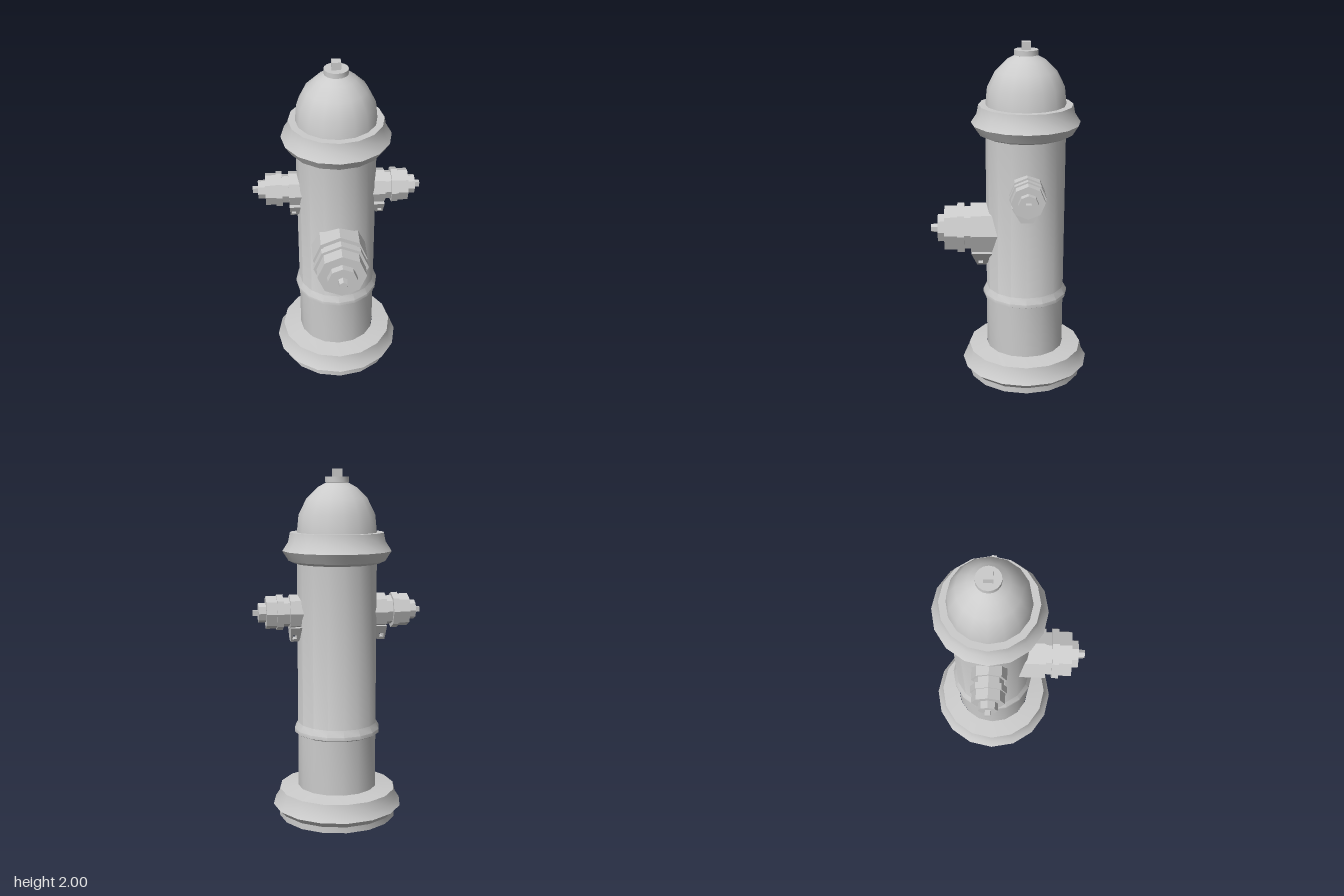
import * as THREE from 'three';
import { toCreasedNormals } from 'three/addons/utils/BufferGeometryUtils.js';

const smooth = new THREE.MeshStandardMaterial({ color: 0xcccccc });
const flat = new THREE.MeshStandardMaterial({ color: 0xcccccc, flatShading: true });

function add(parent, name, geometry, material = flat) {
  const mesh = new THREE.Mesh(geometry, material);
  mesh.name = name;
  parent.add(mesh);
  return mesh;
}

// Revolved [radius, height] profile
const lathe = (profile, sides) =>
  new THREE.LatheGeometry(profile.map(([r, y]) => new THREE.Vector2(r, y)), sides);

function turned(parent, name, profile) {
  return add(parent, name, toCreasedNormals(lathe(profile, 16), 0.6), smooth);
}

// Pierced chain lug below a nozzle; outline in (axial, height), wider towards the top
function lugGeometry({ outline, hole, holeSize, bottomHalf, topHalf }) {
  const shape = new THREE.Shape(outline.map(([a, y]) => new THREE.Vector2(a, y)));
  const [ha, hy] = hole;
  const h = holeSize / 2;
  shape.holes.push(new THREE.Path([
    new THREE.Vector2(ha - h, hy - h), new THREE.Vector2(ha - h, hy + h),
    new THREE.Vector2(ha + h, hy + h), new THREE.Vector2(ha + h, hy - h),
  ]));
  const geo = new THREE.ExtrudeGeometry(shape, { depth: 2, bevelEnabled: false });
  geo.translate(0, 0, -1);
  const ys = outline.map((p) => p[1]);
  const low = Math.min(...ys), high = Math.max(...ys);
  const pos = geo.attributes.position;
  for (let i = 0; i < pos.count; i++) {
    const t = (pos.getY(i) - low) / (high - low);
    pos.setZ(i, pos.getZ(i) * THREE.MathUtils.lerp(bottomHalf, topHalf, t));
  }
  geo.rotateY(-Math.PI / 2);
  geo.computeVertexNormals();
  return geo;
}

// Nozzle pointing along +z, measured from the hydrant's axis
function nozzle(name, { profile, nut, lug }) {
  const group = new THREE.Group();
  group.name = name;
  add(group, 'nozzleCap', lathe(profile, 8).rotateX(Math.PI / 2));
  const nutGeo = new THREE.CylinderGeometry(nut.tip, nut.base, nut.length, nut.sides);
  if (nut.sides === 4) nutGeo.rotateY(Math.PI / 4);
  nutGeo.rotateX(Math.PI / 2).translate(0, 0, nut.start + nut.length / 2);
  add(group, 'nozzleNut', nutGeo);
  add(group, 'chainLug', lugGeometry(lug));
  return group;
}

const sideNozzle = {
  profile: [[0.1, 0.17], [0.1, 0.275], [0.083, 0.275], [0.083, 0.312], [0.102, 0.312],
    [0.102, 0.348], [0.093, 0.348], [0.093, 0.408], [0.055, 0.408], [0.055, 0.45], [0, 0.45]],
  nut: { tip: 0.021, base: 0.021, length: 0.032, start: 0.449, sides: 4 },
  lug: {
    outline: [[0.228, -0.165], [0.27, -0.165], [0.274, -0.08], [0.2, -0.08], [0.2, -0.12]],
    hole: [0.249, -0.137], holeSize: 0.024, bottomHalf: 0.036, topHalf: 0.085,
  },
};

const frontNozzle = {
  profile: [[0.156, 0.12], [0.156, 0.318], [0.133, 0.318], [0.133, 0.355], [0.156, 0.355],
    [0.156, 0.395], [0.139, 0.395], [0.139, 0.47], [0.085, 0.47], [0.085, 0.51], [0, 0.51]],
  nut: { tip: 0.024, base: 0.029, length: 0.041, start: 0.509, sides: 6 },
  lug: {
    outline: [[0.235, -0.225], [0.283, -0.225], [0.316, -0.12], [0.17, -0.12], [0.19, -0.15]],
    hole: [0.262, -0.195], holeSize: 0.026, bottomHalf: 0.028, topHalf: 0.115,
  },
};

export function createModel() {
  const model = new THREE.Group();
  model.name = 'hydrant';

  // Everything is built around the barrel axis, set back to balance the front nozzle
  const body = new THREE.Group();
  body.name = 'body';
  body.position.z = -0.085;
  model.add(body);

  turned(body, 'base', [[0, 0], [0.34, 0], [0.34, 0.035], [0.376, 0.07],
    [0.35, 0.11], [0.337, 0.165], [0.23, 0.18]]);
  turned(body, 'barrel', [[0.228, 0.17], [0.228, 0.495], [0.248, 0.505], [0.248, 0.525],
    [0.228, 0.56], [0.228, 1.49]]);
  turned(body, 'collar', [[0.22, 1.48], [0.24, 1.48], [0.275, 1.495], [0.31, 1.55],
    [0.277, 1.6], [0.267, 1.652], [0.225, 1.652]]);
  turned(body, 'dome', [[0.228, 1.645], [0.217, 1.75], [0.172, 1.84], [0.11, 1.9],
    [0.06, 1.927]]);
  turned(body, 'domeCap', [[0.055, 1.925], [0.068, 1.928], [0.068, 1.957], [0, 1.957]]);
  add(body, 'topNut', new THREE.BoxGeometry(0.05, 0.05, 0.05)).position.y = 1.975;

  const front = nozzle('frontNozzle', frontNozzle);
  front.position.y = 0.915;
  body.add(front);

  for (const [side, name] of [[1, 'leftNozzle'], [-1, 'rightNozzle']]) {
    const arm = nozzle(name, sideNozzle);
    arm.position.y = 1.205;
    arm.rotation.y = side * Math.PI / 2;
    body.add(arm);
  }
  return model;
}
